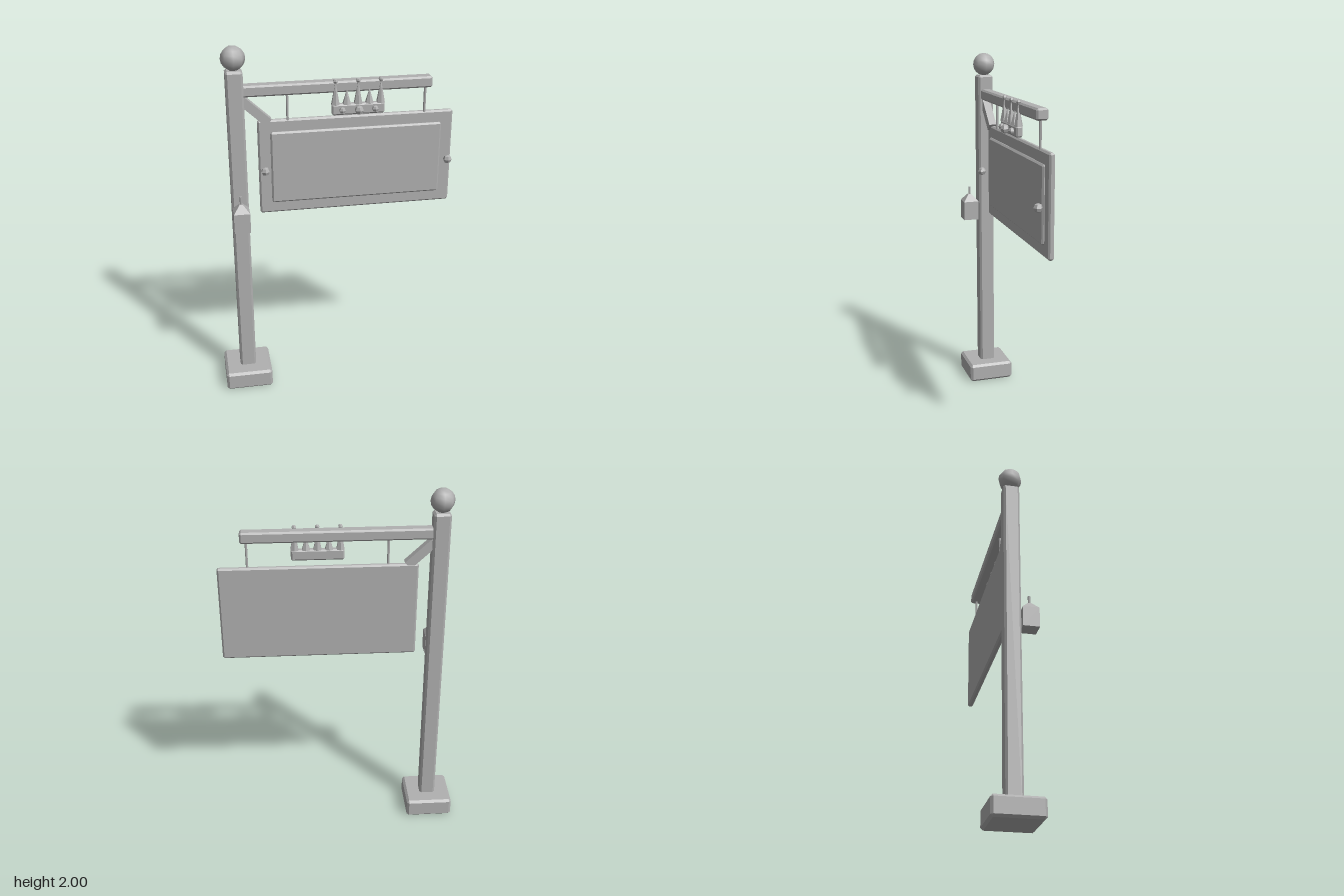
import * as THREE from 'three';
import { ConvexGeometry } from 'three/addons/geometries/ConvexGeometry.js';

const grey = new THREE.MeshStandardMaterial({ color: 0xb0b0b0 });
grey.name = 'stone grey';

export function createModel() {
  const model = new THREE.Group();
  model.name = 'hangingSign';

  function add(name, geometry, x, y, z, parent = model) {
    const mesh = new THREE.Mesh(geometry, grey);
    mesh.name = name;
    mesh.position.set(x, y, z);
    parent.add(mesh);
    return mesh;
  }

  // Box with flat chamfers along every edge
  function chamferBox(w, h, d, c) {
    const points = [];
    for (const sx of [-1, 1]) for (const sy of [-1, 1]) for (const sz of [-1, 1]) {
      for (let axis = 0; axis < 3; axis++) {
        const inset = [c, c, c];
        inset[axis] = 0;
        points.push(new THREE.Vector3(
          sx * (w / 2 - inset[0]), sy * (h / 2 - inset[1]), sz * (d / 2 - inset[2])));
      }
    }
    return new ConvexGeometry(points);
  }

  // Low-poly studs are faceted, with an edge facing forward
  function bead(name, radius, x, y, z, parent = model) {
    const geometry = new THREE.SphereGeometry(radius, 6, 4).rotateY(Math.PI / 6).toNonIndexed();
    geometry.computeVertexNormals();
    return add(name, geometry, x, y, z, parent);
  }

  // Post with plinth and ball finial
  const postX = -0.518, midZ = -0.004;
  add('plinth', chamferBox(0.264, 0.107, 0.264, 0.013), postX - 0.001, 0.0565, midZ);
  add('post', chamferBox(0.09, 1.82, 0.088, 0.011), postX, 0.965, midZ);
  add('finial', new THREE.SphereGeometry(0.064, 8, 8), postX, 1.936, midZ);

  // Arm and diagonal brace
  add('arm', chamferBox(1.03, 0.06, 0.062, 0.009), 0.005, 1.765, midZ);
  const brace = add('brace', new THREE.BoxGeometry(0.22, 0.048, 0.042), -0.43, 1.664, midZ);
  brace.rotation.z = -0.75;

  // Hanging board with raised panel
  for (const x of [-0.248, 0.488]) {
    add('hangerRod', new THREE.CylinderGeometry(0.007, 0.007, 0.17, 6), x, 1.665, midZ);
  }
  add('board', chamferBox(1.054, 0.53, 0.031, 0.009), 0.119, 1.333, -0.011);
  add('raisedPanel', chamferBox(0.926, 0.403, 0.03, 0.009), 0.12, 1.332, 0.002);
  for (const x of [-0.378, 0.616]) bead('boardStud', 0.024, x, 1.332, 0.05);

  // Crown ornament in front of the arm
  const crown = new THREE.Group();
  crown.name = 'crown';
  crown.position.set(0.12, 1.647, 0.028);
  model.add(crown);
  add('crownBand', chamferBox(0.28, 0.059, 0.036, 0.008), 0, 0, 0, crown);
  for (let i = -2; i <= 2; i++) {
    const tall = i % 2 === 0;
    const height = tall ? 0.125 : 0.08;
    const spike = new THREE.ConeGeometry(0.024, height, 6).toNonIndexed();
    spike.computeVertexNormals();
    add('crownSpike', spike, i * 0.06, 0.026 + height / 2, 0, crown);
    if (tall) bead('spikeBead', 0.013, i * 0.06, 0.15, 0, crown);
  }
  for (const i of [-1, 0, 1]) {
    bead('crownGem', i ? 0.018 : 0.025, i * 0.087, 0, i ? 0.026 : 0.036, crown);
  }

  // Lantern in front of the post
  const lantern = new THREE.Group();
  lantern.name = 'lantern';
  lantern.position.set(postX, 1.02, 0.091);
  model.add(lantern);
  add('lanternBody', new THREE.BoxGeometry(0.087, 0.11, 0.087), 0, 0.055, 0, lantern);
  const roof = new THREE.CylinderGeometry(0.012, 0.0615, 0.042, 4).rotateY(Math.PI / 4).toNonIndexed();
  roof.computeVertexNormals();
  add('lanternRoof', roof, 0, 0.131, 0, lantern);
  add('lanternStem', new THREE.CylinderGeometry(0.007, 0.007, 0.05, 6), 0, 0.17, 0, lantern);

  return model;
}
